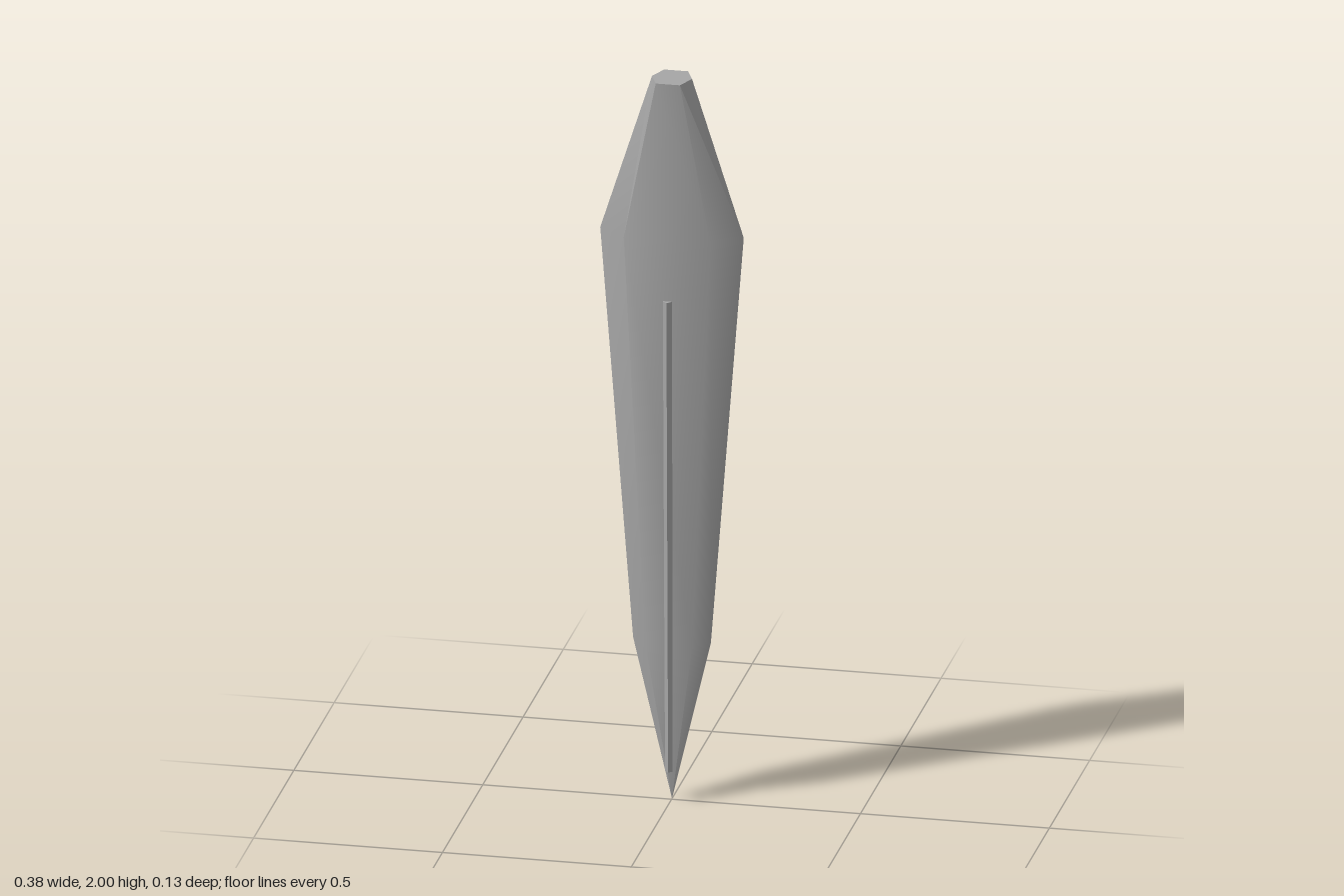
import * as THREE from 'three';
import { toCreasedNormals } from 'three/addons/utils/BufferGeometryUtils.js';

// Skin a stack of rings (equal point counts, counter-clockwise seen from above, bottom to top) and cap both ends
function loft(rings, crease) {
  const n = rings[0].length;
  const bottom = rings[0], top = rings[rings.length - 1];
  const pointed = bottom[0][0] === bottom[1][0];
  const positions = [];
  const tri = (...points) => points.forEach((p) => positions.push(...p));
  for (let r = 0; r < rings.length - 1; r++) {
    const low = rings[r], high = rings[r + 1];
    for (let i = 0; i < n; i++) {
      const j = (i + 1) % n;
      if (r > 0 || !pointed) tri(low[i], low[j], high[i]);
      tri(low[j], high[j], high[i]);
    }
  }
  for (let i = 1; i < n - 1; i++) {
    tri(top[0], top[i], top[i + 1]);
    if (!pointed) tri(bottom[0], bottom[i + 1], bottom[i]);
  }
  const geometry = new THREE.BufferGeometry();
  geometry.setAttribute('position', new THREE.Float32BufferAttribute(positions, 3));
  return toCreasedNormals(geometry, crease);
}

// Flattened hexagon: pointed at both sides, flat at front and back
const hexagon = (y, halfWidth, flat, depth, z = -0.005) => [
  [halfWidth, y, z], [flat, y, z - depth], [-flat, y, z - depth],
  [-halfWidth, y, z], [-flat, y, z + depth], [flat, y, z + depth],
];

// Small diamond section for the ridge
const diamond = (y, z, r) => [[r, y, z], [0, y, z - r], [-r, y, z], [0, y, z + r]];

export function createModel() {
  const model = new THREE.Group();
  model.name = 'blade';
  const grey = new THREE.MeshStandardMaterial({ color: 0xa6a6a6 });
  grey.name = 'grey';

  // Tapered body, from the point up to the cut-off end
  const body = new THREE.Mesh(loft([
    hexagon(0, 0, 0, 0),
    hexagon(0.44, 0.103, 0.062, 0.04),
    hexagon(1.57, 0.19, 0.115, 0.06),
    hexagon(2, 0.053, 0.032, 0.052),
  ], 1.05), grey);
  body.name = 'body';

  // Thin raised ridge down the front
  const ridge = new THREE.Mesh(loft([
    diamond(0.09, 0.034, 0.01),
    diamond(0.44, 0.038, 0.011),
    diamond(1.4, 0.053, 0.012),
  ], 0.5), grey);
  ridge.name = 'frontRidge';

  model.add(body, ridge);
  return model;
}
